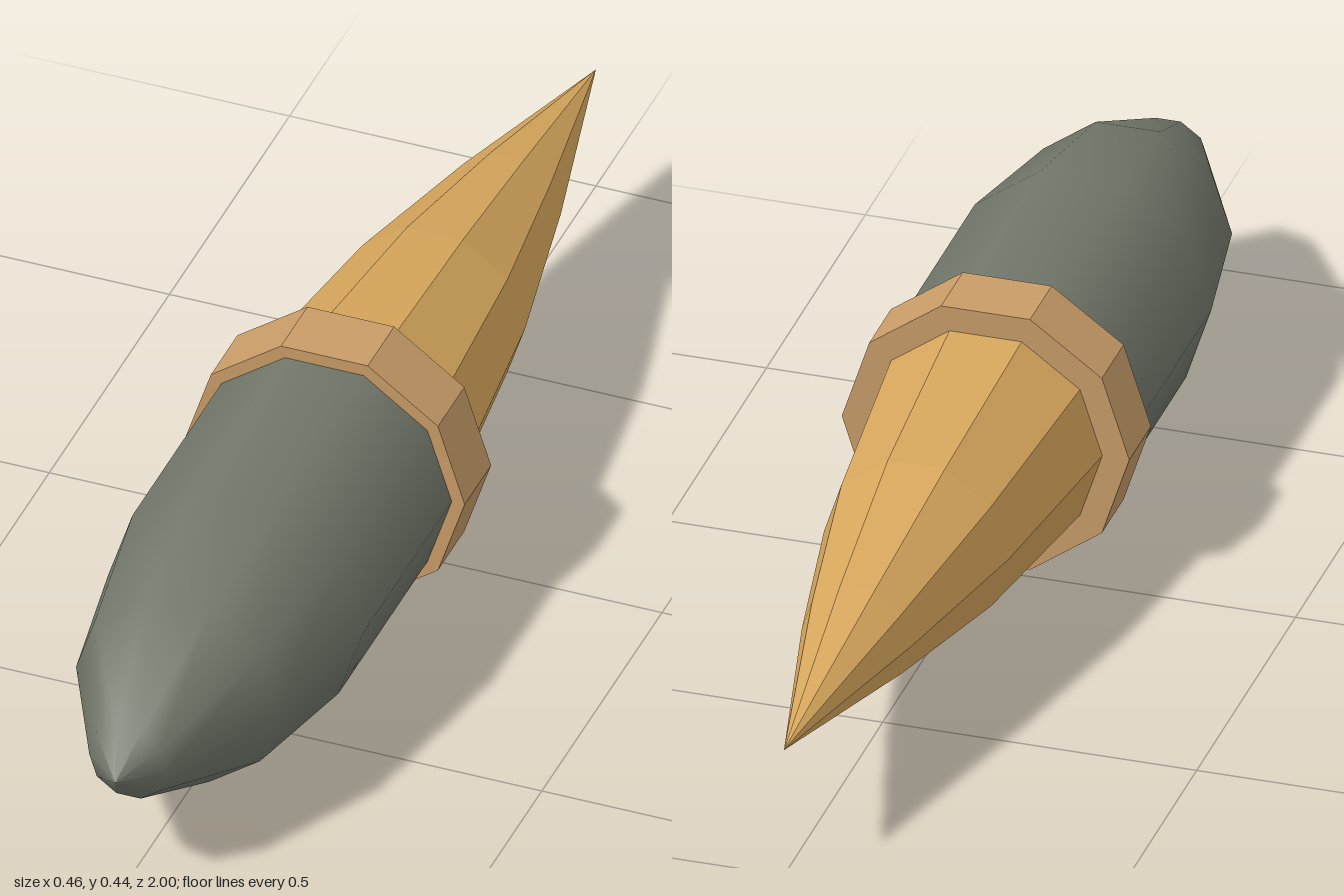
import * as THREE from 'three';

const SIDES = 10;
const AXIS_HEIGHT = 0.218;

const noseMaterial = new THREE.MeshStandardMaterial({ color: 0x72776a });
noseMaterial.name = 'grey green';
const collarMaterial = new THREE.MeshStandardMaterial({ color: 0xc89c68 });
collarMaterial.name = 'tan';
const tailMaterial = new THREE.MeshStandardMaterial({ color: 0xd6a65c });
tailMaterial.name = 'golden tan';

// Ten-sided solid turned about the z axis from [radius, z] pairs, back to front
function turned(name, profile, material, flat) {
  const points = profile.map(([r, z]) => new THREE.Vector2(r, z));
  let geometry = new THREE.LatheGeometry(points, SIDES, Math.PI / 2);
  geometry.rotateX(Math.PI / 2);
  if (flat) {
    geometry = geometry.toNonIndexed();
    geometry.computeVertexNormals();
  }
  const mesh = new THREE.Mesh(geometry, material);
  mesh.name = name;
  mesh.position.y = AXIS_HEIGHT;
  return mesh;
}

export function createModel() {
  const model = new THREE.Group();
  model.name = 'projectile';

  // Smooth rounded nose, seated in the collar
  model.add(turned('nose', [
    [0.208, 0.06], [0.208, 0.13], [0.208, 0.5], [0.166, 0.74], [0.064, 0.945], [0, 1],
  ], noseMaterial, false));

  // Faceted collar with flat ends
  model.add(turned('collar', [
    [0, 0.02], [0.229, 0.02], [0.229, 0.13], [0, 0.13],
  ], collarMaterial, true));

  // Faceted tapering tail
  model.add(turned('tail', [
    [0, -1], [0.088, -0.63], [0.147, -0.33], [0.186, 0.02],
  ], tailMaterial, true));

  return model;
}
